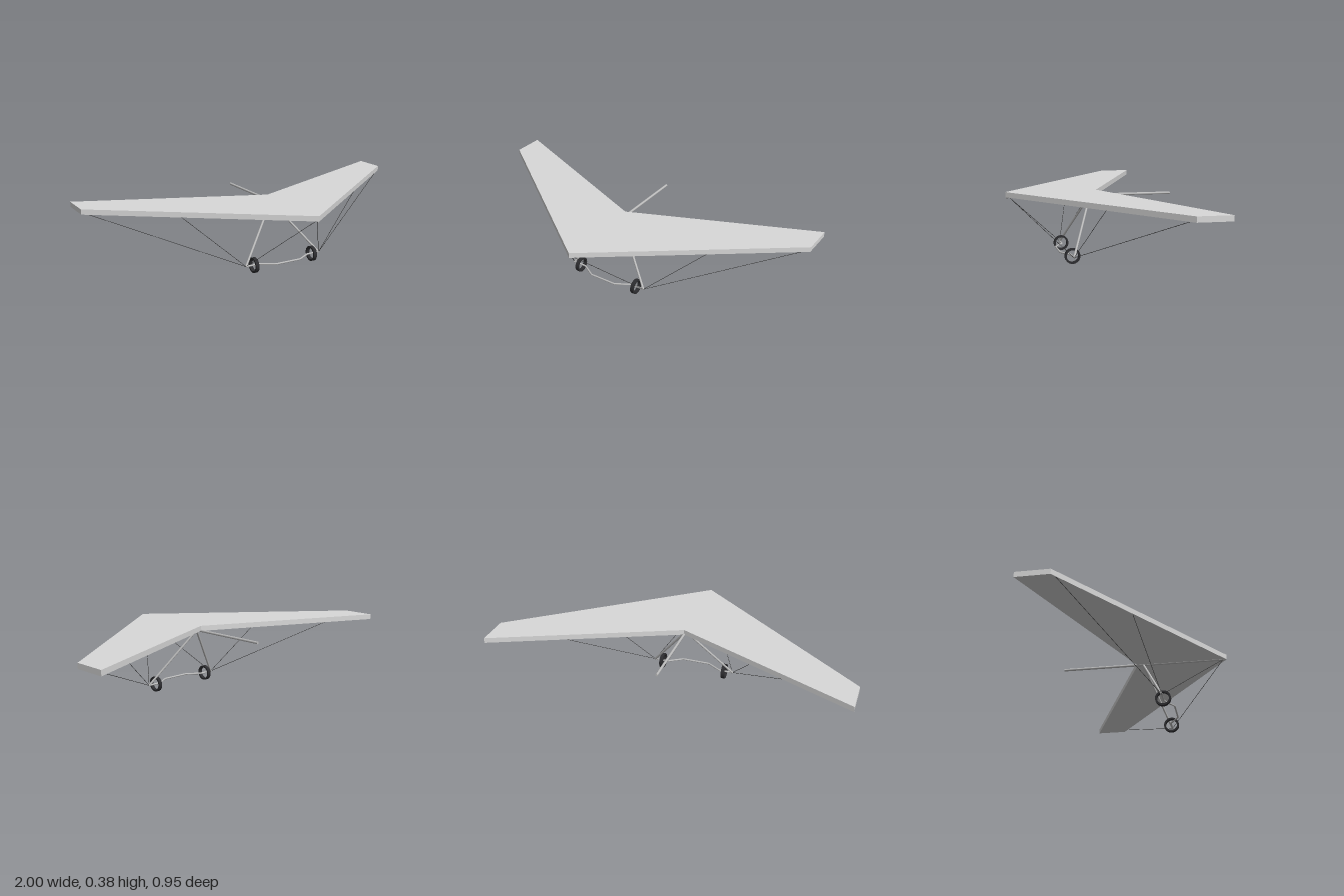
import * as THREE from 'three';

const material = (name, color) => {
  const m = new THREE.MeshStandardMaterial({ color });
  m.name = name;
  return m;
};

export function createModel() {
  const model = new THREE.Group();
  model.name = 'hangGlider';
  const sailGrey = material('sail grey', 0xd9d9d9);
  const tubeGrey = material('tube grey', 0xbcbcbc);
  const wireDark = material('wire dark grey', 0x333333);
  const tyreBlack = material('tyre black', 0x2d2d30);

  const add = (name, geometry, mat) => {
    const mesh = new THREE.Mesh(geometry, mat);
    mesh.name = name;
    model.add(mesh);
    return mesh;
  };

  // Straight rod between two points
  const rod = (name, a, b, radius, mat, sides = 12) => {
    const from = new THREE.Vector3(...a), to = new THREE.Vector3(...b);
    const dir = to.clone().sub(from);
    const mesh = add(name, new THREE.CylinderGeometry(radius, radius, dir.length(), sides), mat);
    mesh.position.copy(from).add(to).multiplyScalar(0.5);
    mesh.quaternion.setFromUnitVectors(new THREE.Vector3(0, 1, 0), dir.normalize());
  };

  // Swept wing: flat slab, plan outline drawn with shape y = -z
  const plan = new THREE.Shape();
  plan.moveTo(0, -0.472);
  plan.lineTo(1, 0.292);
  plan.lineTo(1, 0.472);
  plan.lineTo(0, 0.04);
  plan.lineTo(-1, 0.472);
  plan.lineTo(-1, 0.292);
  plan.closePath();
  const wing = new THREE.ExtrudeGeometry(plan, { depth: 0.029, bevelEnabled: false });
  wing.rotateX(-Math.PI / 2);
  wing.translate(0, 0.349, 0);
  add('wing', wing, sailGrey);

  // Keel tube under the wing, running out behind it
  rod('keel', [0, 0.35, 0.467], [0, 0.35, -0.474], 0.007, tubeGrey);

  // Base bar, bowed forward between the wheels
  const barY = 0.043, barZ = 0.13, barX = 0.24;
  const bar = new THREE.CurvePath();
  const points = [[-barX, barZ], [-0.16, barZ], [-0.08, 0.18], [0.08, 0.18], [0.16, barZ], [barX, barZ]]
    .map(([x, z]) => new THREE.Vector3(x, barY, z));
  for (let i = 1; i < points.length; i++) bar.add(new THREE.LineCurve3(points[i - 1], points[i]));
  add('baseBar', new THREE.TubeGeometry(bar, 60, 0.005, 10, false), tubeGrey);

  // Wheel rim with a square section, turned about the axle
  const rim = new THREE.Shape().absarc(0, 0, 0.043, 0, Math.PI * 2);
  rim.holes.push(new THREE.Path().absarc(0, 0, 0.033, 0, Math.PI * 2, true));
  const wheel = new THREE.ExtrudeGeometry(rim, { depth: 0.02, bevelEnabled: false, curveSegments: 24 });
  wheel.translate(0, 0, -0.01);
  wheel.rotateY(Math.PI / 2);

  for (const [side, s] of [['left', 1], ['right', -1]]) {
    const corner = [s * barX, barY, barZ];
    rod(side + 'Upright', [0, 0.348, -0.005], corner, 0.006, tubeGrey);
    add(side + 'Wheel', wheel, tyreBlack).position.set(s * 0.19, barY, barZ);
    // Rigging from the bar corner to the nose and leading edge
    rod(side + 'NoseWire', corner, [0, 0.35, 0.453], 0.0013, wireDark, 6);
    rod(side + 'InnerWire', corner, [s * 0.57, 0.35, 0.027], 0.0013, wireDark, 6);
    rod(side + 'OuterWire', corner, [s * 0.97, 0.35, -0.275], 0.0013, wireDark, 6);
  }
  return model;
}
